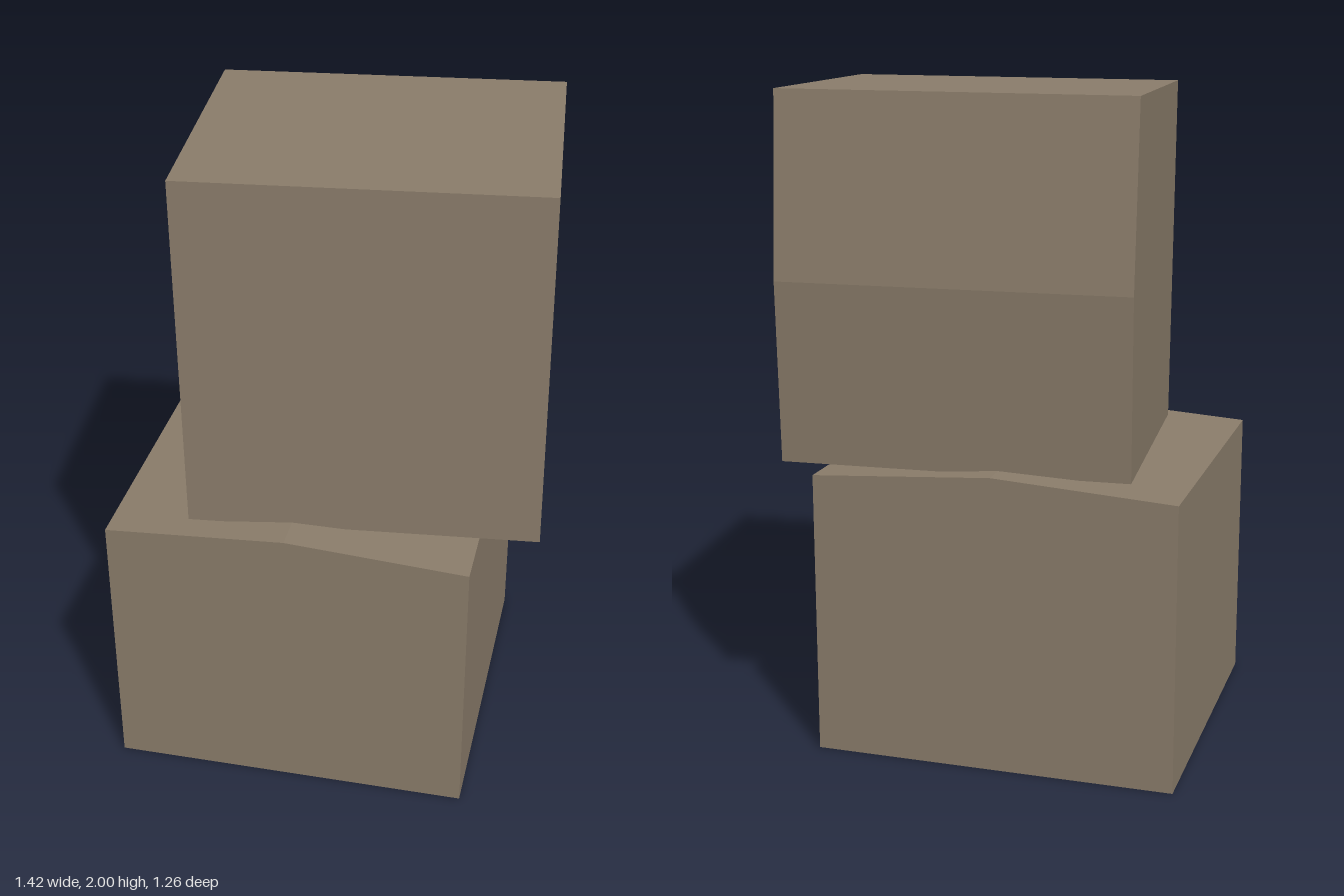
import * as THREE from 'three';

// Extrudes a cross-section along z, centred on its depth
function prism(points, depth) {
  const shape = new THREE.Shape(points.map(([x, y]) => new THREE.Vector2(x, y)));
  const geometry = new THREE.ExtrudeGeometry(shape, { depth, bevelEnabled: false });
  return geometry.translate(0, 0, -depth / 2);
}

export function createModel() {
  const stone = new THREE.MeshStandardMaterial({ color: 0x8b7d6b });
  stone.name = 'warm grey stone';
  const group = new THREE.Group();
  group.name = 'stackedBlocks';

  // Lower block: top rises to a shallow ridge running front to back
  const lower = new THREE.Mesh(
    prism([[-0.553, 0], [0.553, 0], [0.553, 0.87], [0, 0.906], [-0.553, 0.87]], 1.05),
    stone
  );
  lower.name = 'lowerBlock';
  lower.position.set(-0.076, 0, 0.017);
  lower.rotation.y = THREE.MathUtils.degToRad(10);
  group.add(lower);

  // Upper block: back face bulges at mid height; turned and slightly tilted
  const upper = new THREE.Mesh(
    prism([[-0.43, 0], [0.43, 0], [0.43, 1.1], [-0.43, 1.1], [-0.467, 0.55]], 1.053).rotateY(-Math.PI / 2),
    stone
  );
  upper.name = 'upperBlock';
  upper.position.set(0.089, 0.895, -0.041);
  upper.rotation.set(0, THREE.MathUtils.degToRad(15), 0.0096, 'ZYX');
  group.add(upper);

  return group;
}
